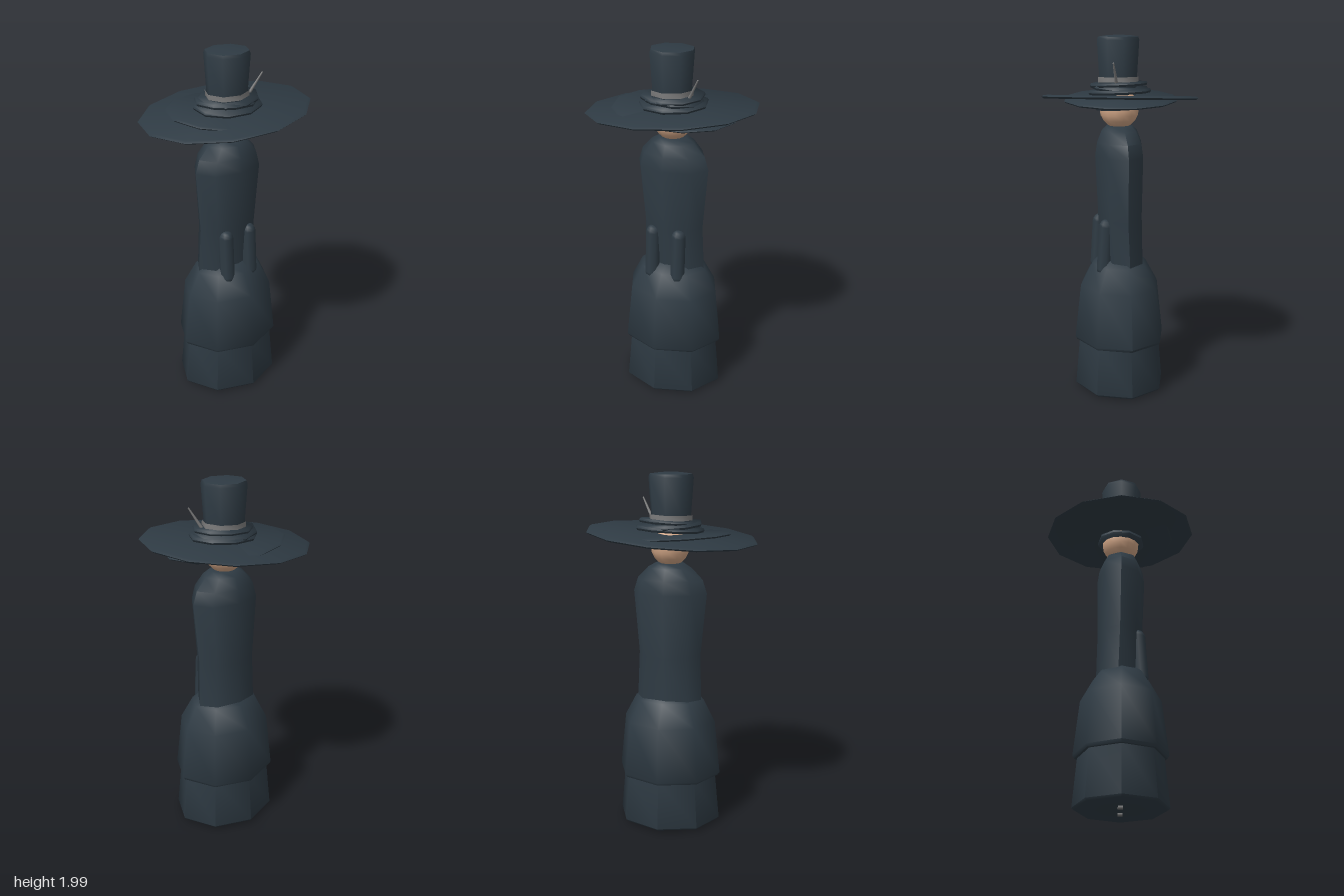
import * as THREE from 'three';
import { toCreasedNormals } from 'three/addons/utils/BufferGeometryUtils.js';

const mat = (name, color) => new THREE.MeshStandardMaterial({ name, color });

// Faceted turned form: profile rows are [half width, half depth, height, centre z]
function turned(rows, sides, crease = 1.0) {
  const geo = new THREE.LatheGeometry(rows.map((r) => new THREE.Vector2(1, r[2])), sides);
  const pos = geo.attributes.position;
  for (let i = 0; i < pos.count; i++) {
    const [w, d, y, z = 0] = rows[i % rows.length];
    pos.setXYZ(i, pos.getX(i) * w, y, pos.getZ(i) * d + z);
  }
  return toCreasedNormals(geo, crease);
}

export function createModel() {
  const model = new THREE.Group();
  const cloth = mat('darkCloth', 0x2e3a43);
  const skin = mat('skin', 0xd3a787);
  const grey = mat('grey', 0x7c7c7c);

  const add = (name, geo, material, x = 0, y = 0, z = 0, parent = model) => {
    const mesh = new THREE.Mesh(geo, material);
    mesh.name = name;
    mesh.position.set(x, y, z);
    parent.add(mesh);
    return mesh;
  };

  // Two-tier skirt
  add('lowerSkirt', turned([
    [0, 0, 0.018], [0.285, 0.245, 0.018], [0.297, 0.257, 0.03],
    [0.27, 0.232, 0.31], [0, 0, 0.31],
  ], 8), cloth, 0.012, 0, 0.004);
  add('upperSkirt', turned([
    [0, 0, 0.294], [0.288, 0.248, 0.294], [0.298, 0.258, 0.31], [0.266, 0.224, 0.615],
    [0.2, 0.155, 0.74], [0.13, 0.1, 0.79], [0, 0, 0.8],
  ], 8), cloth, 0.012, 0, 0.004);

  // Coat with rounded shoulders
  add('coat', turned([
    [0, 0, 0.725], [0.187, 0.122, 0.725, -0.012], [0.178, 0.126, 1.0, -0.002],
    [0.21, 0.136, 1.35, 0.004], [0.186, 0.125, 1.425, 0.004],
    [0.125, 0.1, 1.488, 0.004], [0.08, 0.075, 1.513, 0.004], [0, 0, 1.515, 0.004],
  ], 8), cloth, 0.01);

  // Sleeves hanging at the front, and the shoe soles
  for (const side of [-1, 1]) {
    const sleeve = add('sleeve', new THREE.CapsuleGeometry(0.042, 0.24, 4, 8), cloth,
      0.01 + side * 0.079, 0.845, 0.104);
    sleeve.rotation.x = -0.06;
    add('shoeSole', new THREE.BoxGeometry(0.04, 0.012, 0.026), grey, 0.01 + side * 0.077, 0.014, 0);
  }

  // Head
  add('head', new THREE.SphereGeometry(0.108, 14, 10), skin, 0.008, 1.605, 0.003);

  // Hat: layered, slightly askew discs [name, rx, rz, thickness, x, y, z, tiltX, tiltZ, sides, turn]
  const hat = new THREE.Group();
  hat.name = 'hat';
  model.add(hat);
  const discs = [
    ['headBand', 0.138, 0.138, 0.03, 0.005, 1.618, 0.004, 0.03, 0.03, 9, 0.2],
    ['lowerBrim', 0.35, 0.31, 0.016, 0.018, 1.66, 0.0, 0.03, -0.06, 12, 0],
    ['brim', 0.478, 0.431, 0.018, 0, 1.666, 0, -0.03, 0.075, 12, 0],
    ['crownRing', 0.193, 0.174, 0.022, 0.014, 1.699, 0.006, 0.03, 0.04, 9, 0.1],
    ['crownRing', 0.178, 0.162, 0.022, 0.004, 1.72, 0, -0.05, -0.06, 9, 0.4],
    ['crownRing', 0.17, 0.155, 0.02, 0.016, 1.738, 0.008, 0.04, 0.05, 9, 0],
  ];
  for (const [name, rx, rz, t, x, y, z, ax, az, sides, turn] of discs) {
    const geo = turned([
      [0, 0, -t / 2], [0.97, 0.97, -t / 2], [1, 1, 0], [0.97, 0.97, t / 2], [0, 0, t / 2],
    ], sides, 0.85);
    geo.rotateY(turn);
    geo.scale(rx, 1, rz);
    add(name, geo, cloth, x, y, z, hat).rotation.set(ax, 0, az);
  }

  // Crown, flaring towards a slightly domed top
  add('crown', turned([
    [0, 0, 1.7], [0.113, 0.106, 1.7], [0.113, 0.106, 1.78], [0.127, 0.118, 1.975],
    [0.121, 0.112, 1.992], [0.06, 0.06, 2.0], [0, 0, 2.0],
  ], 8), cloth, 0.006, 0, 0.008, hat);

  // Grey ribbon around the crown, with a pin tucked into it
  const ribbon = add('ribbon', turned([
    [0.121, 0.114, -0.014], [0.121, 0.114, 0.014],
  ], 8), grey, 0.007, 1.764, 0.008, hat);
  ribbon.rotation.z = 0.03;
  const from = new THREE.Vector3(0.125, 1.75, 0.048);
  const to = new THREE.Vector3(0.186, 1.86, 0.08);
  const pin = add('hatPin', new THREE.CylinderGeometry(0.004, 0.009, from.distanceTo(to), 6), grey, 0, 0, 0, hat);
  pin.position.copy(from).lerp(to, 0.5);
  pin.quaternion.setFromUnitVectors(new THREE.Vector3(0, 1, 0), to.clone().sub(from).normalize());

  return model;
}
